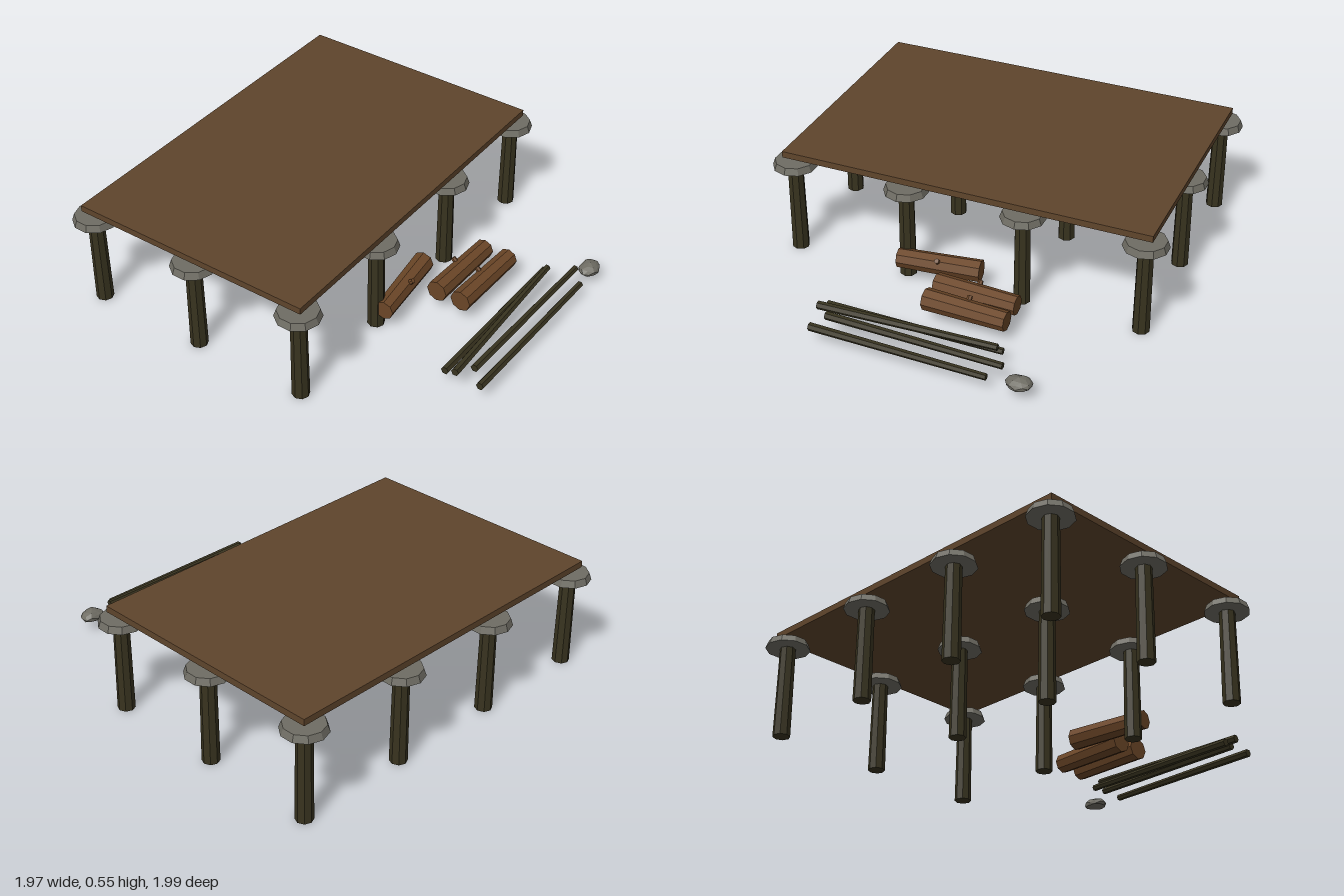
import * as THREE from 'three';

const material = (name, color) => {
  const m = new THREE.MeshStandardMaterial({ color, flatShading: true });
  m.name = name;
  return m;
};

export function createModel() {
  const plank = material('plank brown', 0x5f452c);
  const bark = material('dark bark', 0x38331f);
  const logWood = material('log brown', 0x6b4627);
  const stone = material('grey stone', 0x6f6d64);

  const model = new THREE.Group();
  model.name = 'raisedPlatform';

  const add = (parent, name, geometry, mat, x, y, z) => {
    const mesh = new THREE.Mesh(geometry, mat);
    mesh.name = name;
    mesh.position.set(x, y, z);
    parent.add(mesh);
    return mesh;
  };

  // Floor slab, floating just above the caps
  add(model, 'floor', new THREE.BoxGeometry(1.845, 0.032, 1.255), plank, 0, 0.529, -0.303);

  // Grid of posts, each with a flat stone cap
  const postGeo = new THREE.CylinderGeometry(0.038, 0.042, 0.46, 8);
  const capGeo = new THREE.CylinderGeometry(0.096, 0.108, 0.034, 10);
  for (let row = 0; row < 3; row++) {
    for (let col = 0; col < 4; col++) {
      const x = -0.88 + col * 0.5867;
      const z = 0.281 - row * 0.5855;
      add(model, 'post', postGeo, bark, x, 0.23, z);
      add(model, 'stoneCap', capGeo, stone, x, 0.474, z);
    }
  }

  // Short logs with a branch stub
  const logGeo = new THREE.CylinderGeometry(0.054, 0.048, 0.41, 8).rotateZ(Math.PI / 2);
  const stubGeo = new THREE.CylinderGeometry(0.012, 0.015, 0.05, 6)
    .translate(0, 0.043, 0).rotateX(-Math.PI / 4);
  const logs = [
    [0.146, 0.47, -0.032],
    [0.149, 0.6, -0.039],
    [-0.112, 0.314, Math.PI + 0.117],
  ];
  for (const [x, z, yaw] of logs) {
    const log = new THREE.Group();
    log.name = 'log';
    log.position.set(x, 0.113, z);
    log.rotation.y = yaw;
    add(log, 'logTrunk', logGeo, logWood, 0, 0, 0);
    add(log, 'branchStub', stubGeo, logWood, 0, 0, 0);
    model.add(log);
  }

  // Long thin poles: centre x, y, z and the z change along the length
  const poleGeo = new THREE.CylinderGeometry(0.02, 0.016, 0.873, 6).rotateZ(Math.PI / 2);
  const poles = [
    [-0.029, 0.082, 0.775, 0.006],
    [-0.045, 0.117, 0.819, -0.032],
    [0.027, 0.117, 0.903, 0.024],
    [-0.026, 0.082, 0.963, 0.019],
  ];
  for (const [x, y, z, dz] of poles) {
    add(model, 'pole', poleGeo, bark, x, y, z).rotation.y = -Math.atan2(dz, 0.873);
  }

  // Loose stone: a squashed, uneven ball with a flat base
  const rockGeo = new THREE.IcosahedronGeometry(1, 1);
  const p = rockGeo.attributes.position;
  for (let i = 0; i < p.count; i++) {
    const x = p.getX(i), y = p.getY(i), z = p.getZ(i);
    const bump = 1 + 0.07 * Math.sin(5 * x + 3 * z + 2 * y);
    p.setXYZ(i, x * 0.062 * bump, Math.max(y, -0.35) * 0.033 * bump, z * 0.049 * bump);
  }
  rockGeo.computeVertexNormals();
  add(model, 'looseStone', rockGeo, stone, 0.553, 0.073, 0.947);

  return model;
}
